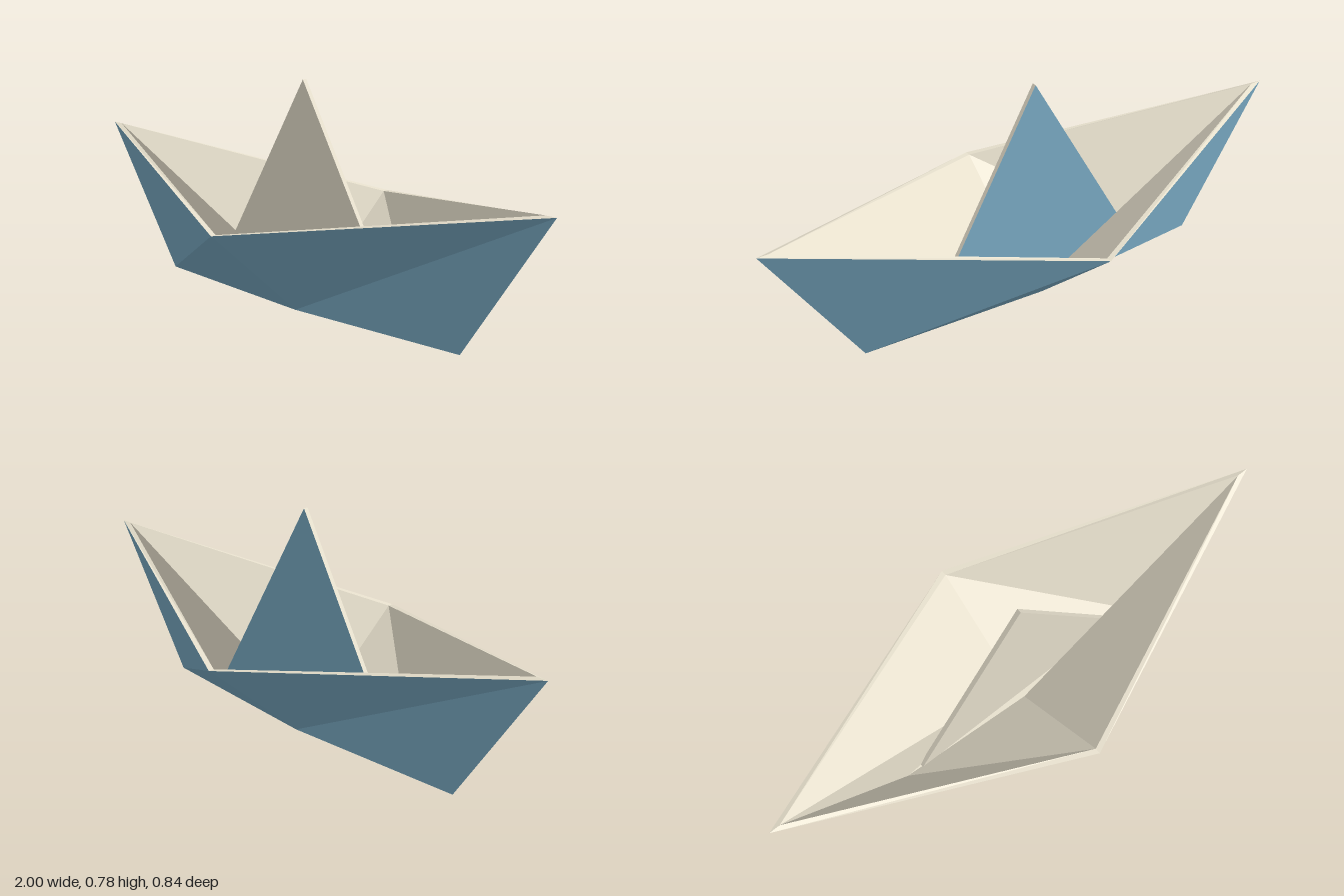
import * as THREE from 'three';

const blue = new THREE.MeshStandardMaterial({ color: 0x78a9c2, flatShading: true });
const cream = new THREE.MeshStandardMaterial({ color: 0xe6dfcc, flatShading: true });

// Mesh of flat triangles, each given as three corner points
function facets(name, triangles, material) {
  const geometry = new THREE.BufferGeometry();
  geometry.setAttribute('position', new THREE.Float32BufferAttribute(triangles.flat(2), 3));
  geometry.computeVertexNormals();
  const mesh = new THREE.Mesh(geometry, material);
  mesh.name = name;
  return mesh;
}

const flip = (triangles) => triangles.map(([a, b, c]) => [a, c, b]);

// Corner points of one long side of the hull (+z)
function sidePoints(tipX, rimZ, keelX, floorZ, floorY) {
  return {
    tipR: [-tipX, 0.5, 0], tipL: [tipX, 0.5, 0], rim: [0, 0.333, rimZ],
    keelR: [-keelX, floorY, 0], keelL: [keelX, floorY, 0], floor: [0, floorY, floorZ],
  };
}

// Folded side panels and half of the bottom, facing outwards
function sideFacets(p) {
  return [
    [p.tipR, p.keelR, p.rim],
    [p.keelR, p.floor, p.rim],
    [p.floor, p.tipL, p.rim],
    [p.floor, p.keelL, p.tipL],
    [p.keelR, p.keelL, p.floor],
  ];
}

// One half of the hull: outside, lining and the paper edge between them
function hullHalf(name) {
  const o = sidePoints(1, 0.42, 0.667, 0.045, 0);
  const i = sidePoints(0.96, 0.4, 0.5, 0.03, 0.015);
  const half = new THREE.Group();
  half.name = name;
  half.add(
    facets('hullOutside', sideFacets(o), blue),
    facets('hullLining', flip(sideFacets(i)), cream),
    facets('hullRim', [
      [o.tipR, o.rim, i.rim], [o.tipR, i.rim, i.tipR],
      [o.rim, o.tipL, i.tipL], [o.rim, i.tipL, i.rim],
    ], cream),
  );
  return half;
}

// Triangular centre peak: cream front and edges, blue back
function peak() {
  const corners = (z) => [[-0.44, 0.015, z], [0.44, 0.015, z], [0, 0.78, z]];
  const front = corners(0.008);
  const back = corners(-0.008);
  const edges = [];
  for (let k = 0; k < 3; k++) {
    const n = (k + 1) % 3;
    edges.push([front[k], back[k], back[n]], [front[k], back[n], front[n]]);
  }
  const group = new THREE.Group();
  group.name = 'peak';
  group.add(
    facets('peakFront', [front], cream),
    facets('peakEdges', edges, cream),
    facets('peakBack', flip([back]), blue),
  );
  return group;
}

export function createModel() {
  const boat = new THREE.Group();
  boat.name = 'paperBoat';
  const frontHalf = hullHalf('frontHalf');
  // The folds repeat by a half turn, not by mirroring
  const backHalf = hullHalf('backHalf');
  backHalf.rotation.y = Math.PI;
  boat.add(frontHalf, backHalf, peak());
  return boat;
}
